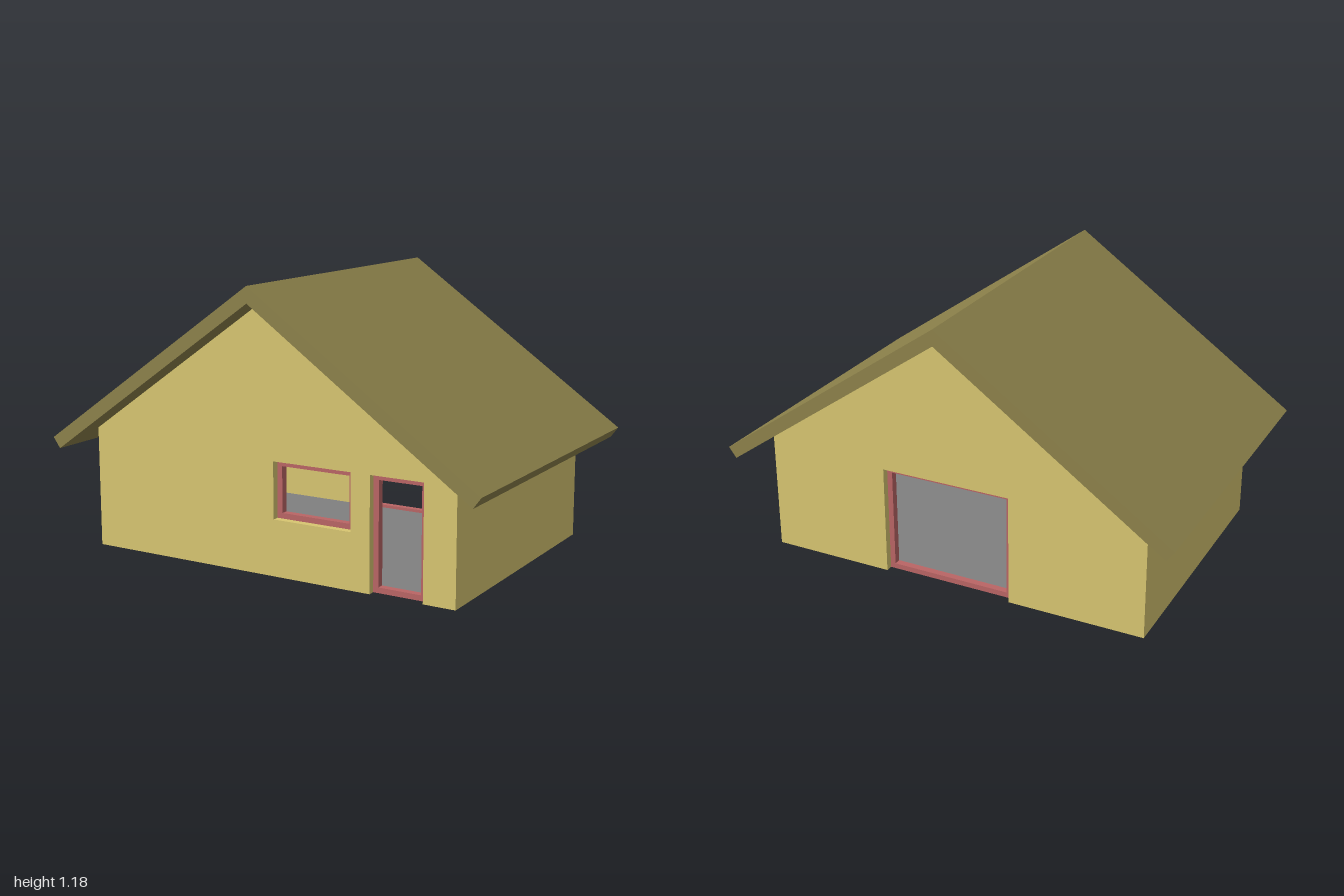
import * as THREE from 'three';

const W = 0.85, D = 0.59, T = 0.06;        // half width, half depth, wall thickness
const RIDGE = 1.112, SLOPE = 0.7;          // underside of the roof
const under = (x) => RIDGE - SLOPE * Math.abs(x);

const mat = (color) => new THREE.MeshStandardMaterial({ color, flatShading: true });

function polygon(points) {
  return new THREE.Shape(points.map(([x, y]) => new THREE.Vector2(x, y)));
}

function rect(x0, y0, x1, y1) {
  return polygon([[x0, y0], [x1, y0], [x1, y1], [x0, y1]]);
}

// Extrude a shape in the xy plane from z0 to z1
function slab(name, shape, z0, z1, material) {
  const geo = new THREE.ExtrudeGeometry(shape, { depth: z1 - z0, bevelEnabled: false });
  geo.translate(0, 0, z0);
  const mesh = new THREE.Mesh(geo, material);
  mesh.name = name;
  return mesh;
}

// Gable outline with a doorway notched into its bottom edge
function gable(doorLeft, doorRight, doorTop) {
  return polygon([
    [-W, 0], [doorLeft, 0], [doorLeft, doorTop], [doorRight, doorTop], [doorRight, 0],
    [W, 0], [W, under(W)], [0, RIDGE], [-W, under(W)],
  ]);
}

// Rectangular frame with an open middle
function frame(name, [x0, y0, x1, y1], z0, z1, material) {
  const b = 0.023;
  const shape = rect(x0, y0, x1, y1);
  shape.holes.push(rect(x0 + b, y0 + b, x1 - b, y1 - b));
  return slab(name, shape, z0, z1, material);
}

export function createModel() {
  const house = new THREE.Group();
  house.name = 'house';
  const wall = mat(0xd8c671), roof = mat(0x8d824b), trim = mat(0xba6565), grey = mat(0x808080);

  // Openings as [left, bottom, right, top]
  const window_ = [0.04, 0.237, 0.395, 0.475];
  const frontDoor = [0.48, 0, 0.712, 0.475];
  const backDoor = [-0.26, 0, 0.312, 0.475];

  // Gable walls
  const front = gable(frontDoor[0], frontDoor[2], frontDoor[3]);
  front.holes.push(rect(...window_));
  house.add(slab('frontWall', front, D - T, D, wall));
  house.add(slab('backWall', gable(backDoor[0], backDoor[2], backDoor[3]), -D, -D + T, wall));

  // Side walls, their tops cut to the roof slope
  for (const s of [-1, 1]) {
    const shape = polygon([[s * (W - T), 0], [s * W, 0], [s * W, under(W)], [s * (W - T), under(W - T)]]);
    house.add(slab(s > 0 ? 'leftWall' : 'rightWall', shape, -D + T, D - T, wall));
  }

  // Recessed frames
  const recess = 0.03;
  house.add(frame('windowFrame', window_, D - T, D - recess, trim));
  house.add(frame('frontDoorFrame', frontDoor, D - T, D - recess, trim));
  house.add(frame('backDoorFrame', backDoor, -D + recess, -D + T, trim));

  // Floor between the walls
  house.add(slab('floor', rect(-W + T, 0, W - T, 0.01), -D + T, D - T, grey));

  // Roof with square-cut eaves
  const roofShape = polygon([
    [0, 1.18], [-1, 0.48], [-0.967, under(0.967)], [0, RIDGE], [0.967, under(0.967)], [1, 0.48],
  ]);
  house.add(slab('roof', roofShape, -0.705, 0.705, roof));

  return house;
}
